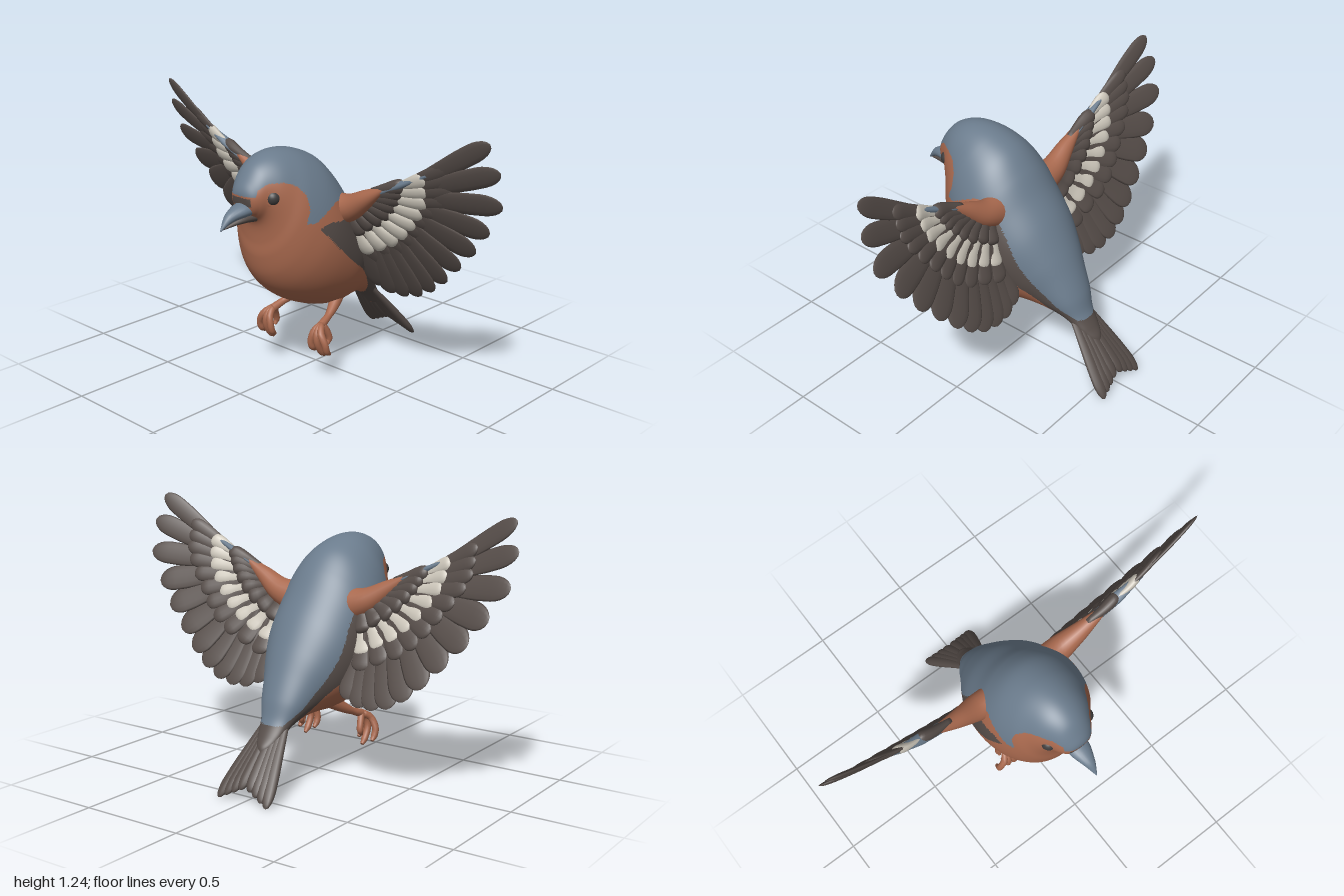
import * as THREE from 'three';
import { mergeGeometries } from 'three/addons/utils/BufferGeometryUtils.js';

const V = (x, y, z) => new THREE.Vector3(x, y, z);
const paint = (name, color) => Object.assign(new THREE.MeshStandardMaterial({ color }), { name });

// Skin over rings of equal point count; pick(x, y, z) chooses a material group per triangle
function skin(rings, pick) {
  const n = rings[0].length, pos = [], lists = [];
  rings.forEach(r => r.forEach(p => pos.push(p.x, p.y, p.z)));
  const add = (...t) => {
    const mid = k => t.reduce((s, i) => s + pos[i * 3 + k], 0) / 3;
    const g = pick ? pick(mid(0), mid(1), mid(2)) : 0;
    (lists[g] ||= []).push(...t);
  };
  for (let i = 0; i < rings.length - 1; i++) for (let j = 0; j < n; j++) {
    const a = i * n + j, b = i * n + (j + 1) % n;
    add(a, b, a + n);
    add(b, b + n, a + n);
  }
  const geo = new THREE.BufferGeometry();
  geo.setAttribute('position', new THREE.Float32BufferAttribute(pos, 3));
  geo.setIndex(lists.flat());
  let start = 0;
  if (pick) lists.forEach((l, g) => { geo.addGroup(start, l.length, g); start += l.length; });
  geo.computeVertexNormals();
  return geo;
}

const ring = (c, a, b, n) => Array.from({ length: n }, (_, j) => {
  const t = j / n * Math.PI * 2;
  return c.clone().addScaledVector(a, Math.cos(t)).addScaledVector(b, Math.sin(t));
});

// Elliptical sweep along a curve: width(u), thick(u) radii, ref = thickness direction
function sweep(points, width, thick, ref, steps = 14, sides = 12) {
  const curve = new THREE.CatmullRomCurve3(points), rings = [];
  for (let i = 0; i <= steps; i++) {
    const u = 1 - (1 - i / steps) ** 1.6, c = curve.getPoint(u), t = curve.getTangent(u);
    const b = ref.clone().addScaledVector(t, -ref.dot(t)).normalize();
    const w = b.clone().cross(t);
    rings.push(ring(c, w.multiplyScalar(width(u)), b.multiplyScalar(thick(u)), sides));
  }
  const cap = (p) => Array.from({ length: sides }, () => p.clone());
  return skin([cap(points[0]), ...rings, cap(points.at(-1))]);
}

// Piecewise linear radius
const taper = (...v) => u => {
  const f = u * (v.length - 1), i = Math.min(Math.floor(f), v.length - 2);
  return v[i] + (v[i + 1] - v[i]) * (f - i);
};
// Blade radius: widening, then a rounded tip
const blade = r => u => r * (0.6 + 0.4 * Math.min(1, u / 0.65)) *
  (u > 0.8 ? Math.sqrt(Math.max(0.0004, 1 - ((u - 0.8) / 0.2) ** 2)) : 1);

// Point in polygon, side outline as [z, y]
function inside(poly, z, y) {
  let hit = false;
  poly.forEach(([z1, y1], i) => {
    const [z2, y2] = poly[(i + 1) % poly.length];
    if ((y1 > y) !== (y2 > y) && z < (z2 - z1) * (y - y1) / (y2 - y1) + z1) hit = !hit;
  });
  return hit;
}

export function createModel() {
  const model = new THREE.Group();
  model.name = 'bird';
  const blue = paint('slateBlue', 0x6b7c8d), rust = paint('rust', 0xa9694e),
    dark = paint('darkFeather', 0x564d49), cream = paint('creamFeather', 0xcdc7bb),
    eyeMat = paint('eye', 0x3e3c3c);
  const add = (name, geo, mat, parent = model) => {
    const m = new THREE.Mesh(geo, mat);
    m.name = name;
    parent.add(m);
    return m;
  };

  // Body and head: back z, back y, belly z, belly y, half width
  const sections = [
    [.47, .89, .47, .885, .004], [.475, .945, .45, .84, .055], [.45, .995, .425, .82, .085],
    [.40, 1.055, .405, .795, .108], [.33, 1.09, .395, .76, .138], [.25, 1.1, .39, .70, .168],
    [.16, 1.085, .388, .63, .203], [.06, 1.04, .365, .54, .235], [-.02, .96, .31, .46, .256],
    [-.09, .86, .22, .39, .258], [-.17, .75, .10, .335, .24], [-.24, .63, 0, .31, .20],
    [-.29, .53, -.10, .312, .155], [-.34, .42, -.20, .312, .115], [-.37, .33, -.28, .288, .08],
    [-.41, .265, -.345, .245, .06], [-.44, .225, -.40, .19, .035], [-.45, .19, -.44, .18, .004]];
  const back = new THREE.CatmullRomCurve3(sections.map(s => V(s[4], s[1], s[0])), false, 'catmullrom');
  const belly = new THREE.CatmullRomCurve3(sections.map(s => V(0, s[3], s[2])), false, 'catmullrom');
  const bodyRings = [], steps = 200;
  for (let i = 0; i <= steps; i++) {
    const t = back.getPoint(i / steps), b = belly.getPoint(i / steps), w = t.x;
    t.x = 0;
    bodyRings.push(ring(t.clone().add(b).multiplyScalar(.5), V(-w, 0, 0), t.clone().sub(b).multiplyScalar(.5), 176));
  }
  // Plumage areas of the side outline
  const mantle = [[.6, .93], [.45, .93], [.44, .96], [.40, .985], [.34, .985], [.29, .965], [.26, .92],
    [.255, .87], [.28, .80], [.24, .80], [.17, .84], [.10, .87], [.03, .84], [-.06, .72], [-.14, .57],
    [-.20, .48], [-.28, .38], [-.36, .31], [-.6, .3], [-.6, 1.3], [.6, 1.3]];
  const flank = [[.22, .77], [.17, .79], [.09, .78], [-.02, .79], [-.6, .6], [-.6, .1], [-.38, .2],
    [-.31, .27], [-.25, .345], [-.17, .43], [-.10, .49], [0, .56], [.12, .66]];
  add('body', skin(bodyRings, (x, y, z) => {
    if (z > .45 && Math.abs(x) < .055 && y > .885 && y < .922) return 2;
    if (inside(mantle, z, y)) return 1;
    return inside(flank, z, y) ? 2 : 0;
  }), [rust, blue, dark]);

  // Beak
  const up = V(0, 1, 0);
  add('upperBeak', sweep([V(0, .868, .42), V(0, .862, .48), V(0, .842, .54), V(0, .797, .59)],
    taper(.056, .048, .026, .003), taper(.034, .031, .022, .003), up, 16, 20), blue);
  add('lowerBeak', sweep([V(0, .828, .39), V(0, .826, .48), V(0, .802, .578)],
    taper(.05, .038, .004), taper(.03, .02, .003), up, 14, 20), dark);

  for (const s of [1, -1]) {
    const side = s > 0 ? 'left' : 'right';

    // Eye with a raised lid
    const eye = add(side + 'Eye', new THREE.SphereGeometry(.034, 24, 16), eyeMat);
    eye.position.set(s * .101, .92, .376);
    const lid = add(side + 'Eyelid', new THREE.TorusGeometry(.035, .009, 10, 28), rust);
    lid.position.set(s * .108, .92, .379);
    lid.rotation.y = s * 1.1;

    // Wing lies on a slanted plane, lifted forward toward the leading edge
    const wing = new THREE.Group();
    wing.name = side + 'Wing';
    model.add(wing);
    const normal = V(s * .09, -.3, 1).normalize();
    const onWing = (x, y, lift) => V(s * x, y, .04 + .3 * (y - 1.25) - .09 * (x - .965) + lift);
    const row = (name, roots, tips, count, w, thick, mat, tipLift) => {
      const path = l => new THREE.CatmullRomCurve3(l.map(p => V(p[0], p[1], 0)), false, 'catmullrom');
      const r = path(roots), t = path(tips), parts = [];
      for (let i = 0; i < count; i++) {
        const u = i / (count - 1), a = r.getPoint(u), b = t.getPoint(u);
        const p = onWing(a.x, a.y, .045), q = onWing(b.x, b.y, tipLift);
        const m = p.clone().lerp(q, .5).addScaledVector(normal, .006);
        const across = q.clone().sub(p).normalize().cross(normal);
        const ref = normal.clone().addScaledVector(across, s * .1);
        parts.push(sweep([p, m, q], blade(w(u)), blade(thick), ref));
      }
      add(name, mergeGeometries(parts), mat, wing);
    };
    row('flightFeathers', [[.56, .985], [.43, .85], [.27, .70]],
      [[.965, 1.24], [.995, 1.12], [.985, .97], [.905, .83], [.82, .715], [.725, .61], [.635, .52], [.555, .455],
        [.475, .41], [.395, .39], [.32, .39], [.25, .415]], 12, taper(.044, .066, .066, .056), .01, dark, 0);
    row('outerCoverts', [[.55, .995], [.44, .86], [.27, .71]],
      [[.79, 1.12], [.78, .98], [.67, .81], [.53, .65], [.29, .54]], 11, taper(.036, .052), .014, dark, .017);
    row('creamCoverts', [[.53, .985], [.46, .89], [.36, .79], [.24, .71]],
      [[.665, 1.045], [.65, .93], [.57, .80], [.45, .685], [.285, .6]], 9, taper(.036, .048), .02, cream, .034);
    row('innerCoverts', [[.38, .93], [.32, .87], [.22, .80]],
      [[.555, .995], [.51, .91], [.42, .80], [.265, .695]], 8, taper(.036, .05), .027, dark, .04);

    // Arm along the leading edge
    add('shoulder', sweep([onWing(.12, .80, .055), onWing(.24, .83, .055), onWing(.34, .89, .055), onWing(.45, .96, .05)],
      taper(.085, .062, .042, .014), taper(.07, .06, .042, .02), normal, 18, 20), rust, wing);
    add('leadingEdge', sweep([onWing(.41, .935, .05), onWing(.54, .997, .048), onWing(.67, 1.06, .04)],
      taper(.012, .016, .01), taper(.024, .026, .012), normal), blue, wing);

    // Leg and curled toes
    const foot = new THREE.Group();
    foot.name = side + 'Leg';
    model.add(foot);
    const limb = (name, pts, radius) => add(name,
      sweep(pts.map(p => V(s * p[0], p[1], p[2])), radius, radius, V(s, 0, 0), 16, 12), rust, foot);
    limb('shank', [[.09, .37, -.05], [.12, .33, .005], [.143, .295, .07], [.155, .27, .135]], taper(.04, .027, .017, .02));
    [[.13, .15, .155], [.165, .125, .13], [.21, .145, .145]].forEach(([x, y, z], i) =>
      limb('toe' + (i + 1), [[.155, .275, .13], [(x + .155) / 2, .25, .163], [x, .20, .172 - i * .004],
        [x, y + .02, z + .008], [x, y, z - .012]], taper(.017, .017, .016, .016, .008)));
    limb('hindToe', [[.155, .275, .125], [.165, .24, .105], [.17, .20, .092], [.17, .175, .105]], taper(.017, .016, .015, .008));
  }

  // Tail: forked fan, outer feathers longest
  const tail = [];
  for (const s of [1, -1]) for (let i = 0; i < 4; i++) {
    const lift = .006 - i * .004;
    tail.push(sweep([V(s * (.012 + i * .012), .32, -.325 - lift), V(s * (.018 + i * .021), .19, -.435 - lift),
      V(s * (.026 + i * .035), .055 - i * .016, -.552 - i * .011 - lift)],
    blade(.032), blade(.019), V(s * .12, .65, -.76), 16));
  }
  add('tail', mergeGeometries(tail), dark);
  return model;
}
